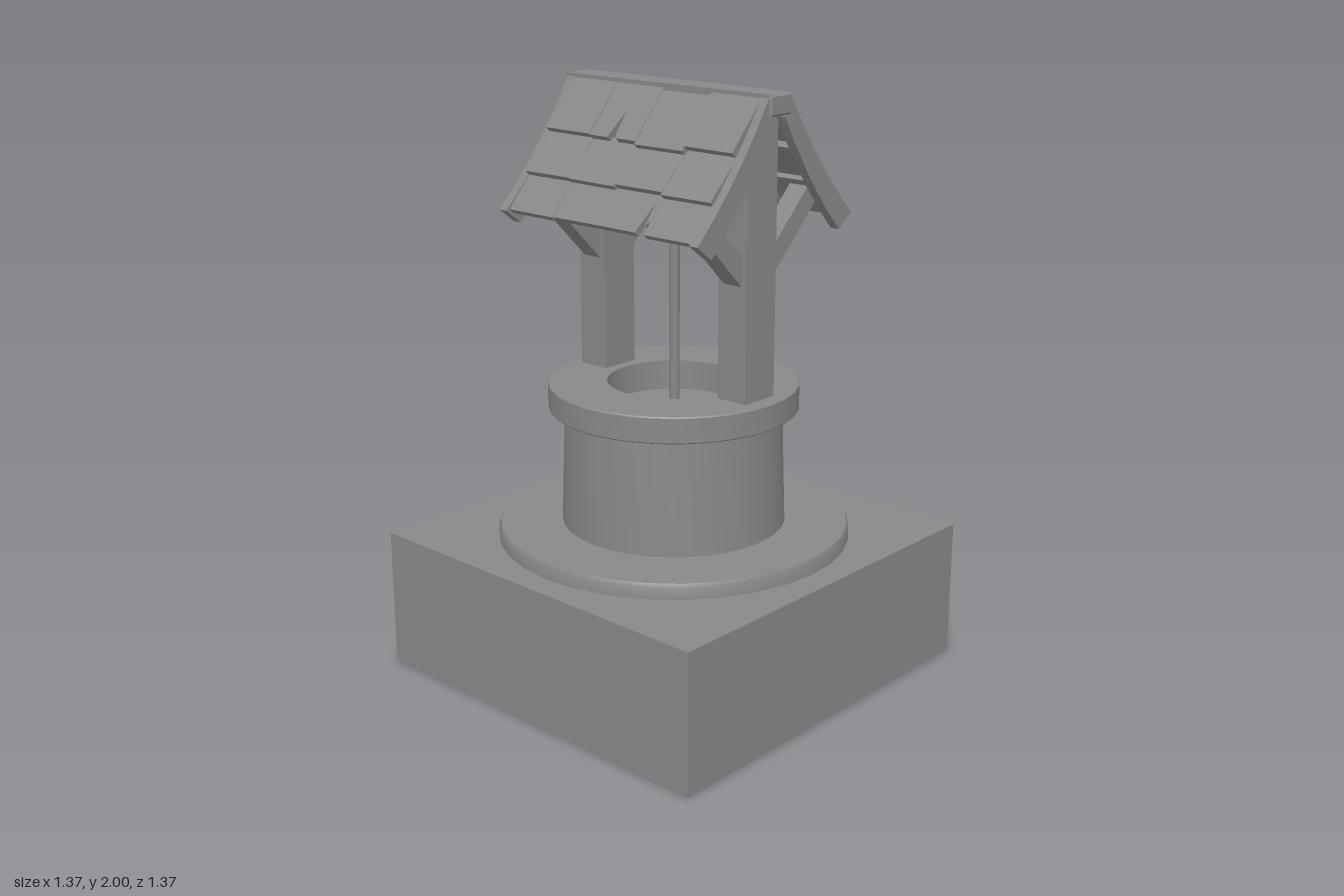
import * as THREE from 'three';
import { toCreasedNormals } from 'three/addons/utils/BufferGeometryUtils.js';

const material = new THREE.MeshStandardMaterial({ color: 0x888888 });
const openMaterial = new THREE.MeshStandardMaterial({ color: 0x888888, side: THREE.DoubleSide });

function add(parent, name, geometry, x = 0, y = 0, z = 0, mat = material) {
  const mesh = new THREE.Mesh(geometry, mat);
  mesh.name = name;
  mesh.position.set(x, y, z);
  parent.add(mesh);
  return mesh;
}

// Round part from [radius, height] pairs, with crisp rims
function lathe(points) {
  const geometry = new THREE.LatheGeometry(points.map(([r, y]) => new THREE.Vector2(r, y)), 32);
  return toCreasedNormals(geometry, 0.5);
}

// Box without its bottom face
function openBox(w, h, d) {
  const geometry = new THREE.BoxGeometry(w, h, d);
  const index = Array.from(geometry.index.array);
  index.splice(18, 6);
  geometry.setIndex(index);
  return geometry;
}

// Sagging rafter outline in the z-y plane, extruded along x
function rafterGeometry() {
  const shape = new THREE.Shape();
  shape.moveTo(0.053, 1.99);
  shape.quadraticCurveTo(0.185, 1.765, 0.374, 1.583);
  shape.lineTo(0.311, 1.535);
  shape.quadraticCurveTo(0.15, 1.7, 0.025, 1.925);
  const width = 0.034;
  const geometry = new THREE.ExtrudeGeometry(shape, { depth: width, bevelEnabled: false, curveSegments: 5 });
  geometry.translate(0, 0, -width / 2);
  geometry.rotateY(-Math.PI / 2);
  return toCreasedNormals(geometry, 0.5);
}

// Ridge beam along x with small bevels all round
function ridgeGeometry() {
  const bevel = 0.008, length = 0.886, z = 0.045, y = 0.027;
  const shape = new THREE.Shape([[-z, -y], [z, -y], [z, y], [-z, y]].map((p) => new THREE.Vector2(...p)));
  const geometry = new THREE.ExtrudeGeometry(shape, {
    depth: length - 2 * bevel, bevelThickness: bevel, bevelSize: bevel, bevelSegments: 1,
  });
  geometry.translate(0, 0, bevel - length / 2);
  geometry.rotateY(-Math.PI / 2);
  return geometry;
}

// Shingle hanging down from its top edge; notch = [x, y] points along the bottom edge
function shingleGeometry(width, length, notch, endLift, side) {
  const w = width / 2;
  const outline = [[-w, 0], [-w, -length], ...notch, [w, -length + endLift], [w, 0]];
  const shape = new THREE.Shape(outline.map(([x, y]) => new THREE.Vector2(x * side, y)));
  const thickness = 0.022;
  const geometry = new THREE.ExtrudeGeometry(shape, { depth: thickness, bevelEnabled: false });
  geometry.translate(0, 0, -thickness);
  return geometry;
}

// One slope of the roof; side -1 is the back, turned half a circle
function roofSlope(side) {
  const slope = new THREE.Group();
  slope.name = side > 0 ? 'frontRoofSlope' : 'backRoofSlope';
  if (side < 0) slope.rotation.y = Math.PI;

  // Rows as [top z, top y, bottom z, bottom y] of the outer surface
  const rows = [
    [0.05, 1.99, 0.186, 1.834],
    [0.156, 1.828, 0.283, 1.703],
    [0.252, 1.708, 0.358, 1.588],
  ];
  const columns = [-0.302, -0.098, 0.104, 0.303];
  const jitter = [[0, 0.003, 0.012, -0.002], [0, 0.002, -0.004, 0.003], [0.002, 0, 0, 0.002]];
  rows.forEach(([z0, y0, z1, y1], row) => {
    const length = Math.hypot(z1 - z0, y1 - y0);
    columns.forEach((x, col) => {
      const cracked = row === 0 && col === 1;
      const broken = row === 2 && col === 2;
      let notch = [];
      if (cracked) notch = [[-0.022, -length], [0, -length + 0.105], [0.008, -length + 0.02], [0.016, -length]];
      if (broken) notch = [[0.06, -length], [0.08, -length + 0.115], [0.086, -length + 0.03]];
      const drop = jitter[row][col];
      const mesh = add(slope, 'shingle', shingleGeometry(0.202, length, notch, broken ? 0.05 : 0, side),
        x * side, y0 - drop, z0 + drop * 0.6);
      mesh.rotation.x = -Math.atan2(z1 - z0, y0 - y1);
      mesh.rotation.z = ((row * 2 + col) % 3 - 1) * 0.005;
    });
  });

  // Rafters and diagonal braces at both ends
  for (const end of [-1, 1]) {
    add(slope, 'rafter', rafterGeometry(), end * 0.417);
    const brace = add(slope, 'brace', new THREE.BoxGeometry(0.074, 0.34, 0.067), end * 0.312, 1.531, 0.158);
    brace.rotation.x = Math.PI / 4;
  }
  return slope;
}

export function createModel() {
  const model = new THREE.Group();
  model.name = 'well';

  // Ground block, open underneath
  add(model, 'groundBlock', openBox(1.37, 0.476, 1.37), 0, 0.238, 0, openMaterial);

  // Stone base, wall and rim
  add(model, 'baseDisc', lathe([[0.598, 0.476], [0.596, 0.515], [0.59, 0.527], [0, 0.527]]));
  add(model, 'wellWall', lathe([[0.38, 0.527], [0.366, 0.93]]));
  add(model, 'wellRim', lathe([
    [0.36, 0.924], [0.417, 0.924], [0.421, 0.928], [0.421, 1.009], [0.417, 1.013],
    [0.224, 1.013], [0.224, 0.91],
  ]), 0, 0, 0, openMaterial);
  const floor = add(model, 'wellFloor', new THREE.CircleGeometry(0.226, 32), 0, 0.911, 0);
  floor.rotation.x = -Math.PI / 2;

  // Timber frame and roof
  const frame = new THREE.Group();
  frame.name = 'timberFrame';
  frame.position.set(-0.004, 0, -0.008);
  model.add(frame);
  for (const side of [-1, 1]) {
    add(frame, 'post', new THREE.BoxGeometry(0.116, 0.95, 0.142), side * 0.312, 1.465);
    frame.add(roofSlope(side));
  }
  add(frame, 'ridgeBeam', ridgeGeometry(), -0.003, 1.965);

  // Rope hanging from the ridge
  add(frame, 'rope', new THREE.CylinderGeometry(0.017, 0.017, 1.03, 8), 0, 1.425, 0);
  return model;
}
